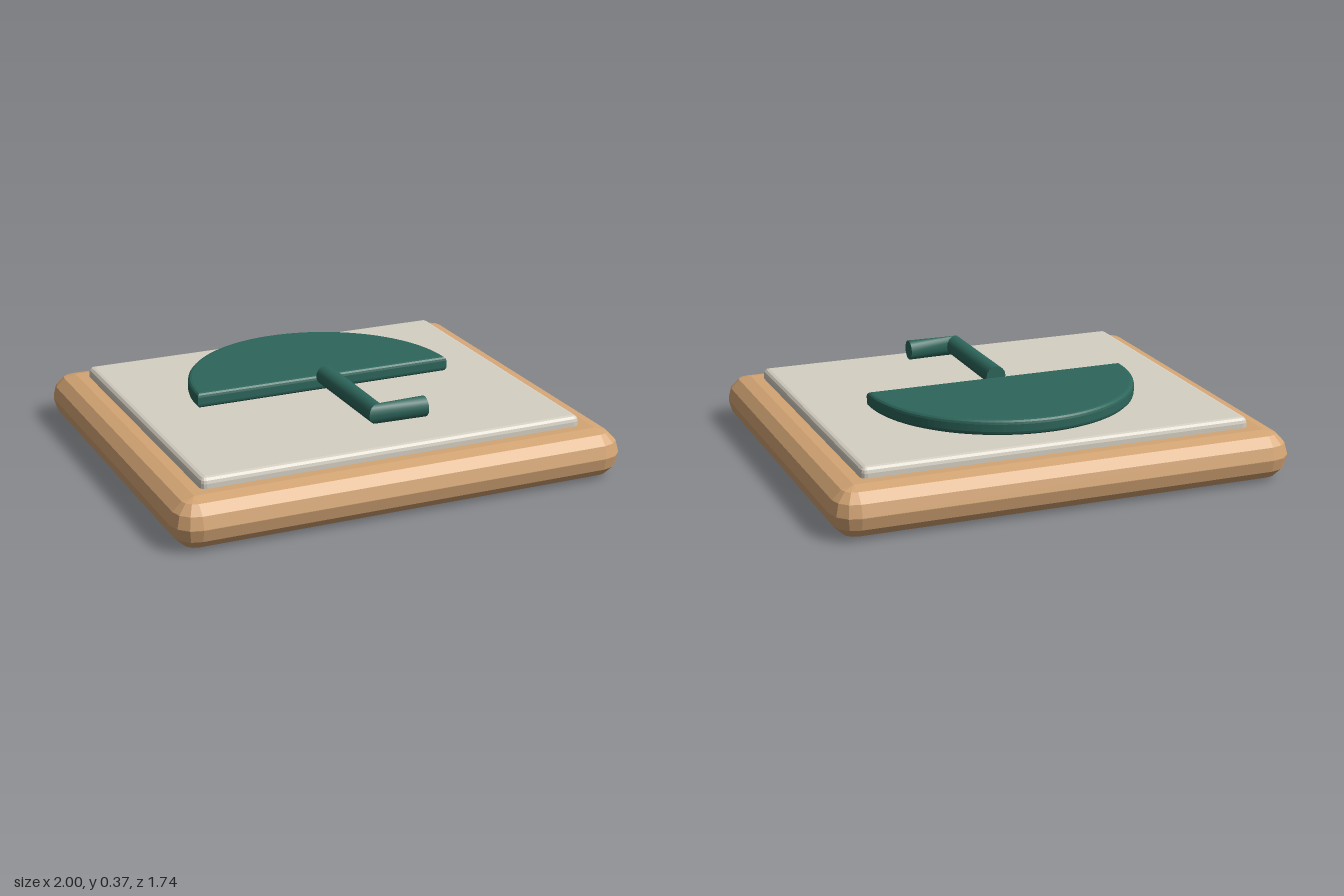
import * as THREE from 'three';
import { ConvexGeometry } from 'three/addons/geometries/ConvexGeometry.js';

const wood = new THREE.MeshStandardMaterial({ color: 0xd4a574, name: 'wood' });
const stone = new THREE.MeshStandardMaterial({ color: 0xd6d0c3, name: 'pale stone' });
const green = new THREE.MeshStandardMaterial({ color: 0x2d665b, name: 'deep green' });

// Box with faceted round edges: the hull of eight sphere octants
function roundedSlab(w, h, d, r, steps = 3) {
  const points = [];
  for (const sx of [-1, 1]) for (const sy of [-1, 1]) for (const sz of [-1, 1]) {
    for (let i = 0; i <= steps; i++) {
      const lat = (i / steps) * Math.PI / 2;
      const count = i === steps ? 0 : steps;
      for (let j = 0; j <= count; j++) {
        const lon = (j / steps) * Math.PI / 2;
        points.push(new THREE.Vector3(
          sx * (w / 2 - r + r * Math.cos(lat) * Math.cos(lon)),
          sy * (h / 2 - r + r * Math.sin(lat)),
          sz * (d / 2 - r + r * Math.cos(lat) * Math.sin(lon))));
      }
    }
  }
  return new ConvexGeometry(points);
}

// Half disc lying flat, straight edge at z = 0, with a soft bevel
function halfDisc(radius, thickness, bevel) {
  const shape = new THREE.Shape();
  shape.absarc(0, bevel, radius - bevel, 0, Math.PI, false);
  shape.closePath();
  const geometry = new THREE.ExtrudeGeometry(shape, {
    depth: thickness - 2 * bevel, bevelThickness: bevel, bevelSize: bevel,
    bevelSegments: 3, curveSegments: 32,
  });
  geometry.translate(0, 0, bevel);
  geometry.rotateX(-Math.PI / 2);
  return geometry;
}

// Tube through rings, each with a centre and a sideways axis, closed at both ends
function ringTube(rings, radius, sides = 16) {
  const positions = [], index = [];
  const addRing = ({ centre, axis }) => {
    const start = positions.length / 3;
    for (let i = 0; i < sides; i++) {
      const a = (i / sides) * Math.PI * 2;
      positions.push(
        centre[0] + radius * Math.cos(a) * axis[0],
        centre[1] + radius * Math.sin(a),
        centre[2] + radius * Math.cos(a) * axis[1]);
    }
    return start;
  };
  for (let k = 0; k < rings.length - 1; k++) {
    const s = addRing(rings[k]), e = addRing(rings[k + 1]);
    for (let i = 0; i < sides; i++) {
      const n = (i + 1) % sides;
      index.push(s + i, s + n, e + i, s + n, e + n, e + i);
    }
  }
  const first = addRing(rings[0]), last = addRing(rings[rings.length - 1]);
  for (let i = 1; i < sides - 1; i++) {
    index.push(first, first + i + 1, first + i, last, last + i, last + i + 1);
  }
  const geometry = new THREE.BufferGeometry();
  geometry.setAttribute('position', new THREE.Float32BufferAttribute(positions, 3));
  geometry.setIndex(index);
  geometry.computeVertexNormals();
  return geometry;
}

export function createModel() {
  const model = new THREE.Group();
  model.name = 'umbrellaPlaque';
  const add = (name, geometry, material, y) => {
    const mesh = new THREE.Mesh(geometry, material);
    mesh.name = name;
    mesh.position.y = y;
    model.add(mesh);
  };

  // Wooden backing and raised panel
  add('base', roundedSlab(2, 0.21, 1.74, 0.104), wood, 0.105);
  add('panel', roundedSlab(1.7, 0.1, 1.445, 0.025), stone, 0.205);

  // Umbrella emblem: canopy, then a handle with a pinched elbow
  add('canopy', halfDisc(0.59, 0.067, 0.018), green, 0.257);
  add('handle', ringTube([
    { centre: [0, 0, 0], axis: [1, 0] },
    { centre: [0, 0, 0.517], axis: [0.92, -0.39] },
    { centre: [0.22, 0, 0.517], axis: [0, -1] },
  ], 0.044), green, 0.325);

  return model;
}
